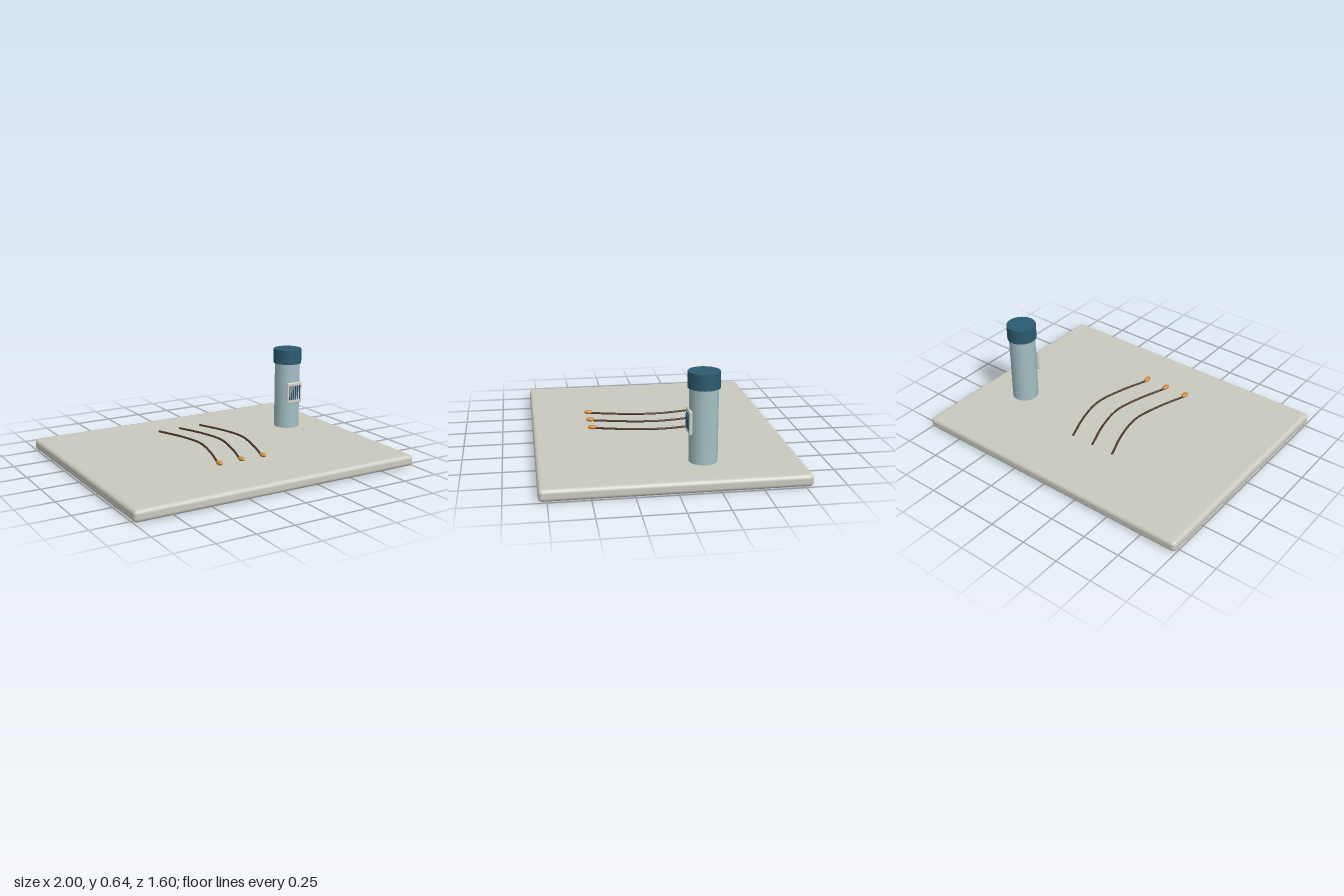
import * as THREE from 'three';
import { RoundedBoxGeometry } from 'three/addons/geometries/RoundedBoxGeometry.js';

const paint = (name, color) => {
  const m = new THREE.MeshStandardMaterial({ color });
  m.name = name;
  return m;
};

export function createModel() {
  const model = new THREE.Group();
  model.name = 'specimenTray';
  const stone = paint('pale grey', 0xc9c9bf);
  const glass = paint('pale blue glass', 0xa3bec4);
  const teal = paint('dark teal', 0x2b5b70);
  const paper = paint('label white', 0xd2d0c6);
  const brown = paint('dark brown', 0x4e3628);
  const amber = paint('amber', 0xc98a38);

  const add = (parent, name, geometry, material, x = 0, y = 0, z = 0) => {
    const mesh = new THREE.Mesh(geometry, material);
    mesh.name = name;
    mesh.position.set(x, y, z);
    parent.add(mesh);
    return mesh;
  };

  // Tray with softened edges
  add(model, 'tray', new RoundedBoxGeometry(2, 0.075, 1.6, 4, 0.026), stone, 0, 0.0375, 0);

  // Capped vial
  const vial = new THREE.Group();
  vial.name = 'vial';
  vial.position.set(0.68, 0, -0.2);
  model.add(vial);
  add(vial, 'vialBody', new THREE.CylinderGeometry(0.088, 0.088, 0.465, 48), glass, 0, 0.3125, 0);
  add(vial, 'cap', new THREE.CylinderGeometry(0.098, 0.098, 0.1, 48), teal, 0, 0.59, 0);

  // Label plate with a row of thin bars
  add(vial, 'label', new RoundedBoxGeometry(0.12, 0.15, 0.02, 3, 0.008), paper, 0, 0.335, 0.088);
  const bars = 6;
  for (let i = 0; i < bars; i++) {
    const x = (i - (bars - 1) / 2) * 0.0165;
    add(vial, 'labelBar', new THREE.BoxGeometry(0.009, 0.1, 0.004), teal, x, 0.338, 0.098);
  }

  // Three curved strands, each ending in a bead
  const path = new THREE.CatmullRomCurve3([
    new THREE.Vector3(0, 0.114, -0.4),
    new THREE.Vector3(0.07, 0.117, -0.2),
    new THREE.Vector3(0.1, 0.119, -0.01),
    new THREE.Vector3(0.063, 0.115, 0.2),
    new THREE.Vector3(0, 0.111, 0.4),
  ]);
  const strandGeometry = new THREE.TubeGeometry(path, 48, 0.007, 10);
  const endGeometry = new THREE.SphereGeometry(0.007, 10, 8);
  const beadGeometry = new THREE.SphereGeometry(1, 24, 16).scale(0.018, 0.014, 0.029);
  for (const x of [-0.24, -0.08, 0.08]) {
    const strand = new THREE.Group();
    strand.name = 'strand';
    strand.position.x = x;
    model.add(strand);
    add(strand, 'strandStem', strandGeometry, brown);
    add(strand, 'strandTip', endGeometry, brown, 0, 0.114, -0.4);
    add(strand, 'strandBead', beadGeometry, amber, 0, 0.118, 0.415);
  }

  return model;
}
